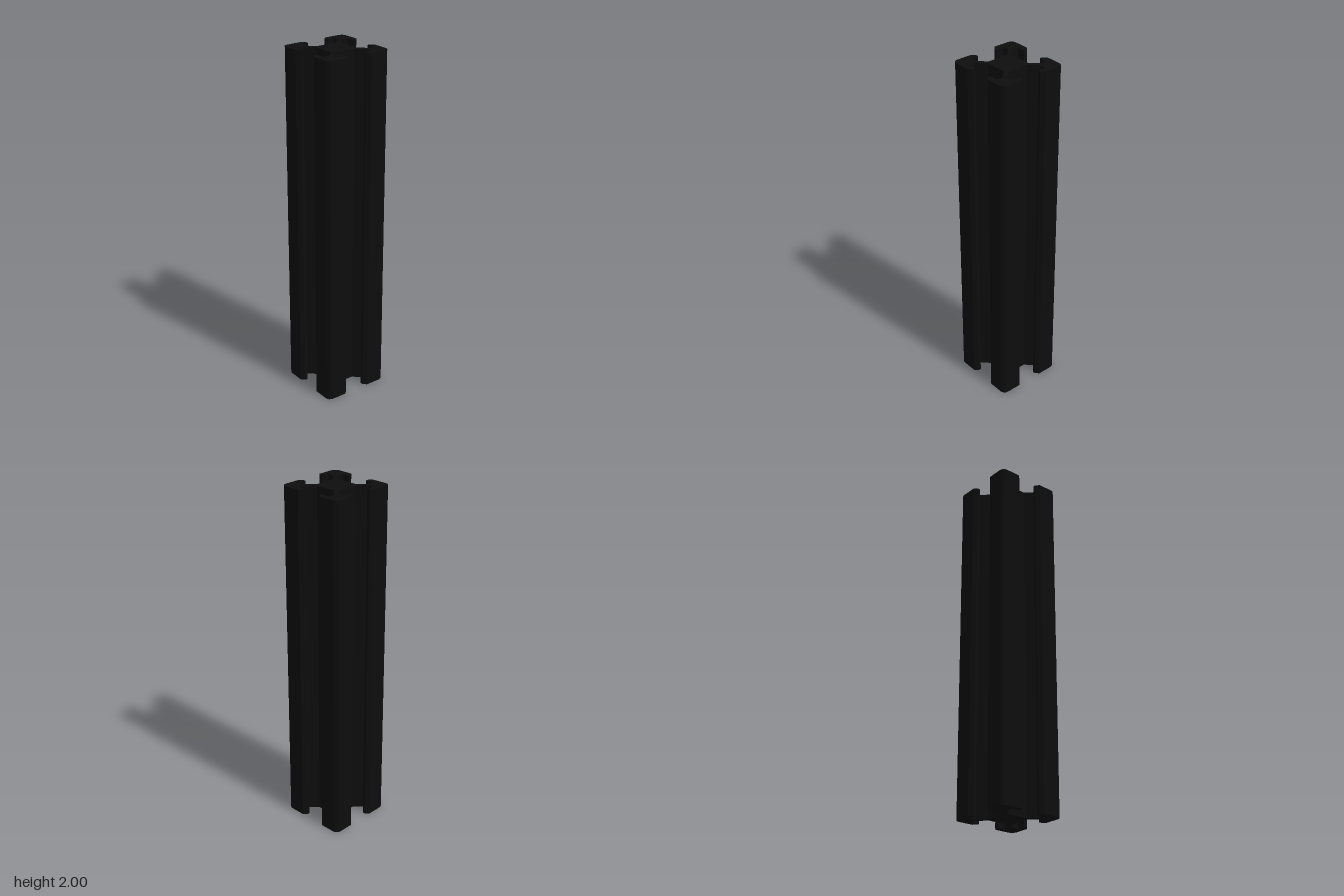
import * as THREE from 'three';

// One corner of the T-slot section, counter-clockwise from core to core
function cornerPoints() {
  const pts = [[0.079, 0.061], [0.129, 0.111], [0.164, 0.111], [0.164, 0.061], [0.18, 0.061], [0.2, 0.08]];
  const r = 0.03, steps = 4;
  for (let i = 0; i <= steps; i++) {
    const a = (i / steps) * Math.PI / 2;
    pts.push([0.2 - r + r * Math.cos(a), 0.2 - r + r * Math.sin(a)]);
  }
  // mirror the straight run across the diagonal
  for (const [x, y] of pts.slice(0, 6).reverse()) pts.push([y, x]);
  return pts.map(([x, y]) => new THREE.Vector2(x, y));
}

export function createModel() {
  const group = new THREE.Group();
  group.name = 'slottedProfileBar';

  // Full section: the corner repeated at quarter turns
  const outline = [];
  const centre = new THREE.Vector2();
  for (let q = 0; q < 4; q++) {
    for (const p of cornerPoints()) outline.push(p.rotateAround(centre, q * Math.PI / 2));
  }

  // Extruded bar, stood upright
  const geometry = new THREE.ExtrudeGeometry(new THREE.Shape(outline), { depth: 2, bevelEnabled: false });
  geometry.rotateX(-Math.PI / 2);
  const bar = new THREE.Mesh(geometry, new THREE.MeshStandardMaterial({ color: 0x0d0d0d }));
  bar.name = 'extrusion';
  group.add(bar);
  return group;
}
